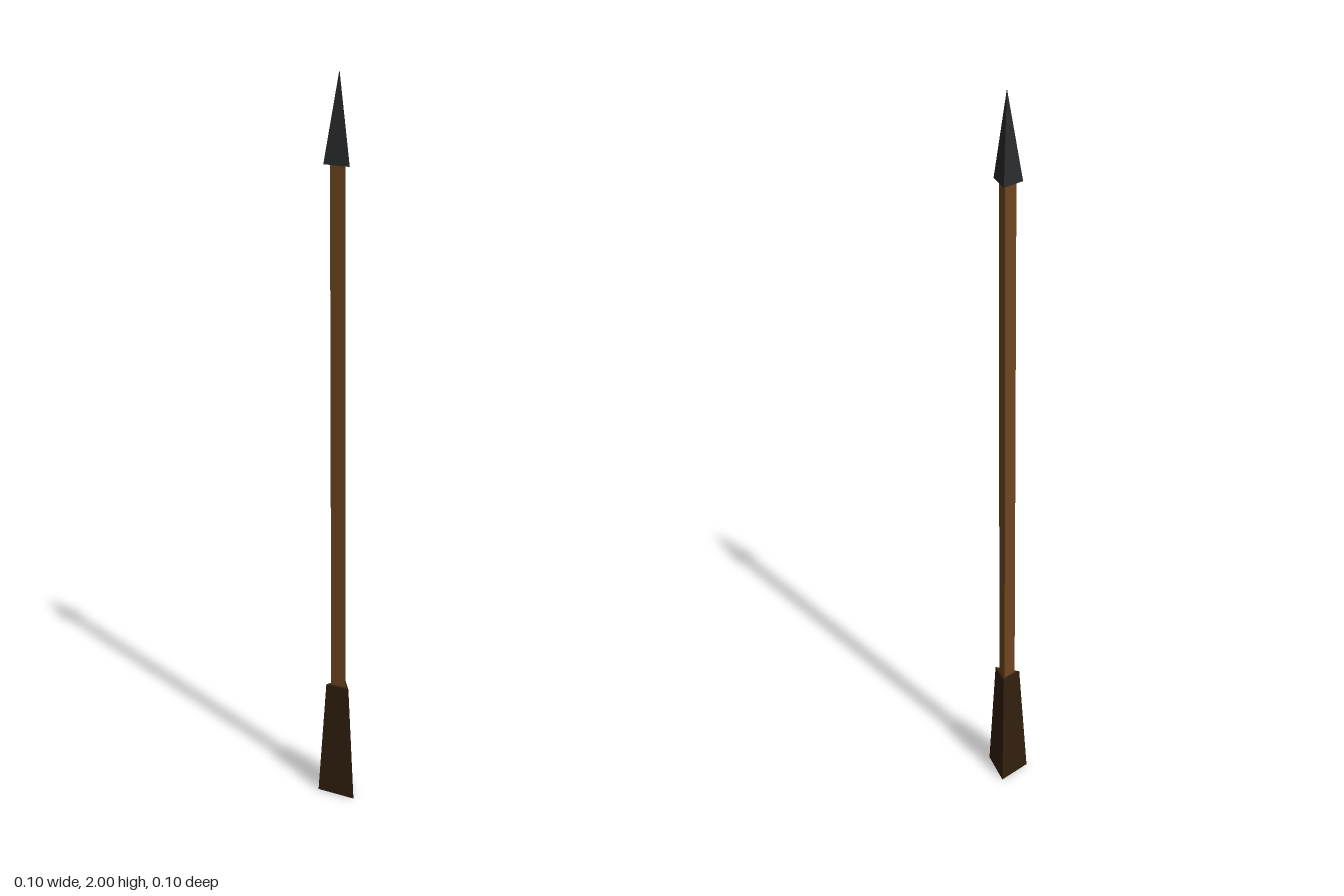
import * as THREE from 'three';

const AXIS_Z = -0.0167; // shared centre line of all three prisms
const DEPTH = 1.155; // makes each triangular section as deep as it is wide

const material = (name, color) => {
  const m = new THREE.MeshStandardMaterial({ color, flatShading: true });
  m.name = name;
  return m;
};

// Three-sided tapered prism with one edge facing the front, sized by half-widths
function prism(name, mat, y0, y1, bottomHalf, topHalf) {
  const k = 1 / Math.sin(Math.PI / 3);
  const geometry = new THREE.CylinderGeometry(topHalf * k, bottomHalf * k, y1 - y0, 3);
  geometry.scale(1, 1, DEPTH);
  geometry.translate(0, (y0 + y1) / 2, AXIS_Z);
  const mesh = new THREE.Mesh(geometry, mat);
  mesh.name = name;
  return mesh;
}

export function createModel() {
  const group = new THREE.Group();
  group.name = 'arrow';
  group.add(
    prism('fletching', material('darkBrown', 0x32200e), 0, 0.325, 0.05, 0.031),
    prism('shaft', material('wood', 0x704720), 0.3, 1.78, 0.02, 0.02),
    prism('head', material('darkIron', 0x2a2b2d), 1.765, 2, 0.034, 0),
  );
  return group;
}
